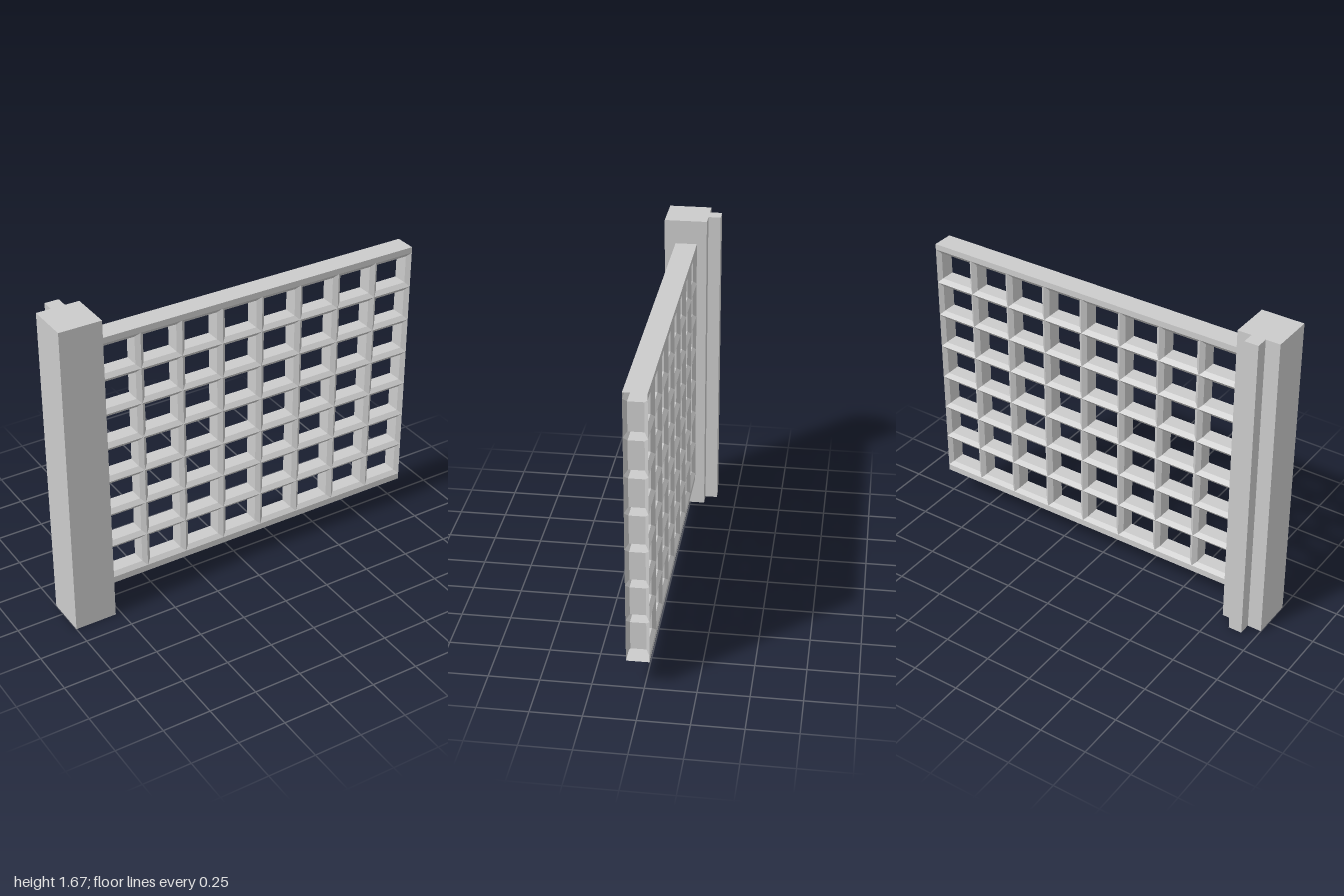
import * as THREE from 'three';

const solid = new THREE.MeshStandardMaterial({ color: 0xcccccc, flatShading: true });
const shell = new THREE.MeshStandardMaterial({ color: 0xcccccc, flatShading: true, side: THREE.DoubleSide });

// Lattice layout
const COLS = 8, ROWS = 7;
const LEFT = -0.78, RIGHT = 1, BOTTOM = 0.184, TOP = 1.514;
const FRONT = 0.085, BACK = -0.027;
const CELL_W = (RIGHT - LEFT) / COLS, CELL_H = (TOP - BOTTOM) / ROWS;
const INSET = 0.022, BEVEL = 0.018;

// Joins cross-section loops with flat quads
function loft(loops, closed) {
  const positions = [];
  for (let k = 0; k < loops.length - 1; k++) {
    const a = loops[k], b = loops[k + 1], n = a.length;
    for (let i = 0; i < (closed ? n : n - 1); i++) {
      const j = (i + 1) % n;
      for (const p of [a[i], a[j], b[j], a[i], b[j], b[i]]) positions.push(...p);
    }
  }
  const geometry = new THREE.BufferGeometry();
  geometry.setAttribute('position', new THREE.Float32BufferAttribute(positions, 3));
  geometry.computeVertexNormals();
  return geometry;
}

// Wall of one opening: bevelled in at the front, straight, bevelled out at the back.
// Neighbouring openings meet in ridges and form the mitred hollow bars.
function openingGeometry() {
  const ring = (inset, z) => {
    const w = CELL_W / 2 - inset, h = CELL_H / 2 - inset;
    return [[-w, -h, z], [w, -h, z], [w, h, z], [-w, h, z]];
  };
  return loft([
    ring(0, FRONT), ring(INSET, FRONT - BEVEL), ring(INSET, BACK + BEVEL), ring(0, BACK),
  ], true);
}

// Open-ended U channel along x, from the lattice edge to the outer edge
function railGeometry(inner, outer) {
  const section = (x) => [[x, inner, FRONT], [x, outer, FRONT], [x, outer, BACK], [x, inner, BACK]];
  return outer > inner
    ? loft([section(LEFT), section(RIGHT)].reverse(), false)
    : loft([section(LEFT), section(RIGHT)], false);
}

// T-shaped post outline seen from above (x, z)
function postGeometry() {
  const outline = [
    [-1, 0.142], [LEFT, 0.142], [LEFT, -0.078], [-0.853, -0.078],
    [-0.853, -0.142], [-0.925, -0.142], [-0.925, -0.078], [-1, -0.078],
  ];
  const shape = new THREE.Shape(outline.map(([x, z]) => new THREE.Vector2(x, -z)));
  return new THREE.ExtrudeGeometry(shape, { depth: 1.67, bevelEnabled: false }).rotateX(-Math.PI / 2);
}

export function createModel() {
  const model = new THREE.Group();
  model.name = 'latticeFence';
  const add = (parent, name, geometry, material) => {
    const mesh = new THREE.Mesh(geometry, material);
    mesh.name = name;
    parent.add(mesh);
    return mesh;
  };

  add(model, 'post', postGeometry(), solid);
  add(model, 'topRail', railGeometry(TOP, 1.545), shell);
  add(model, 'bottomRail', railGeometry(BOTTOM, 0.15), shell);

  // Grid of openings
  const lattice = new THREE.Group();
  lattice.name = 'lattice';
  model.add(lattice);
  const opening = openingGeometry();
  for (let row = 0; row < ROWS; row++) {
    for (let col = 0; col < COLS; col++) {
      add(lattice, 'latticeOpening', opening, shell)
        .position.set(LEFT + (col + 0.5) * CELL_W, BOTTOM + (row + 0.5) * CELL_H, 0);
    }
  }
  return model;
}
